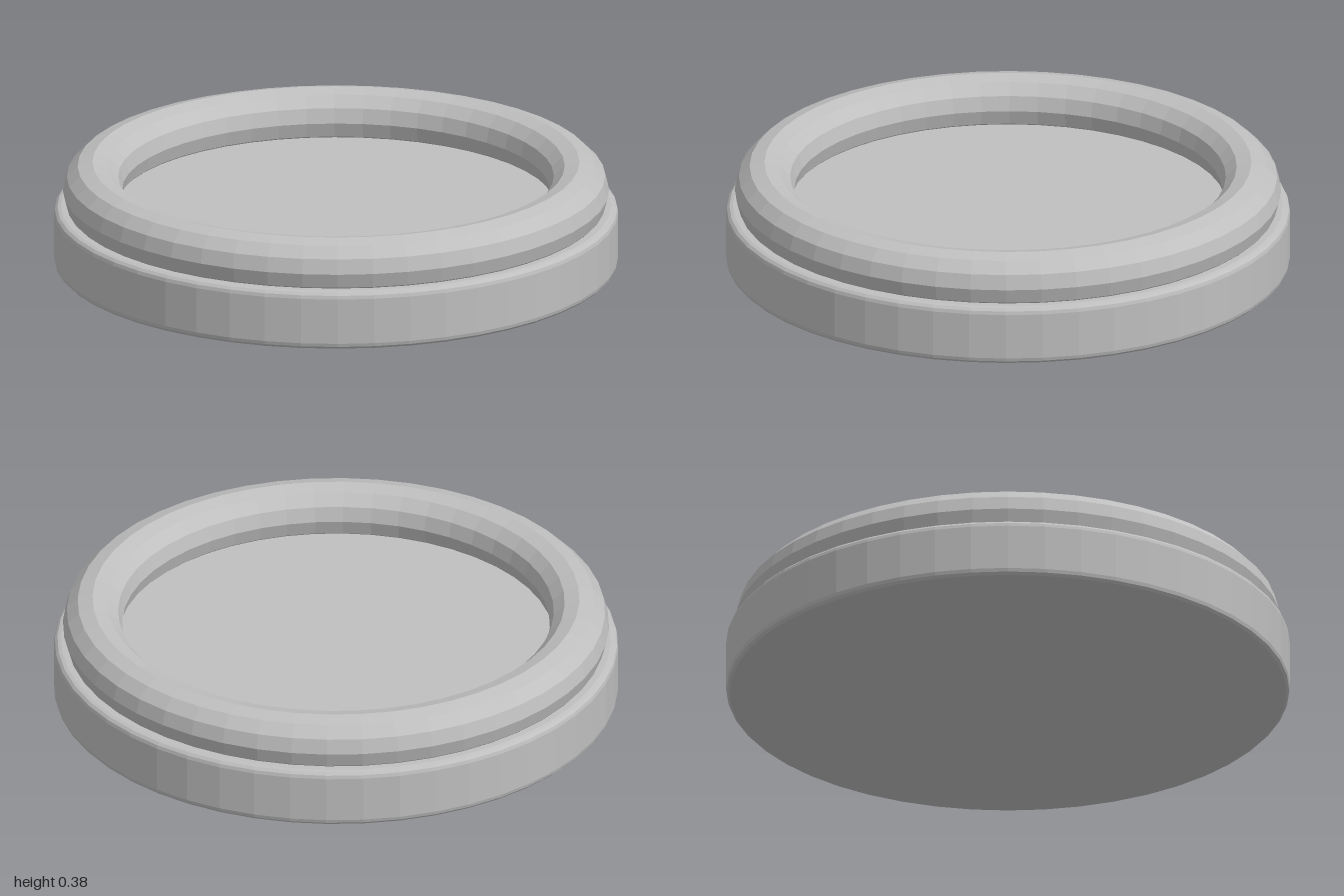
import * as THREE from 'three';

export function createModel() {
  const group = new THREE.Group();
  const grey = new THREE.MeshStandardMaterial({ color: 0xbfbfbf, flatShading: true });
  grey.name = 'grey';
  const segments = 48;
  const height = 0.215;
  const bevel = 0.025;

  // Solid disc with small rounded rims at the bottom and top
  const profile = [new THREE.Vector2(0, 0)];
  for (const [centreY, start] of [[bevel, -Math.PI / 2], [height - bevel, 0]]) {
    for (let i = 0; i <= 3; i++) {
      const a = start + (i / 3) * Math.PI / 2;
      profile.push(new THREE.Vector2(1 - bevel + bevel * Math.cos(a), centreY + bevel * Math.sin(a)));
    }
  }
  profile.push(new THREE.Vector2(0, height));
  const base = new THREE.Mesh(new THREE.LatheGeometry(profile, segments), grey);
  base.name = 'baseDisc';
  group.add(base);

  // Raised round ring, partly sunk into the disc
  const ringGeometry = new THREE.TorusGeometry(0.863, 0.105, 12, segments);
  ringGeometry.rotateX(-Math.PI / 2);
  const ring = new THREE.Mesh(ringGeometry, grey);
  ring.name = 'raisedRing';
  ring.position.y = 0.272;
  group.add(ring);

  return group;
}
